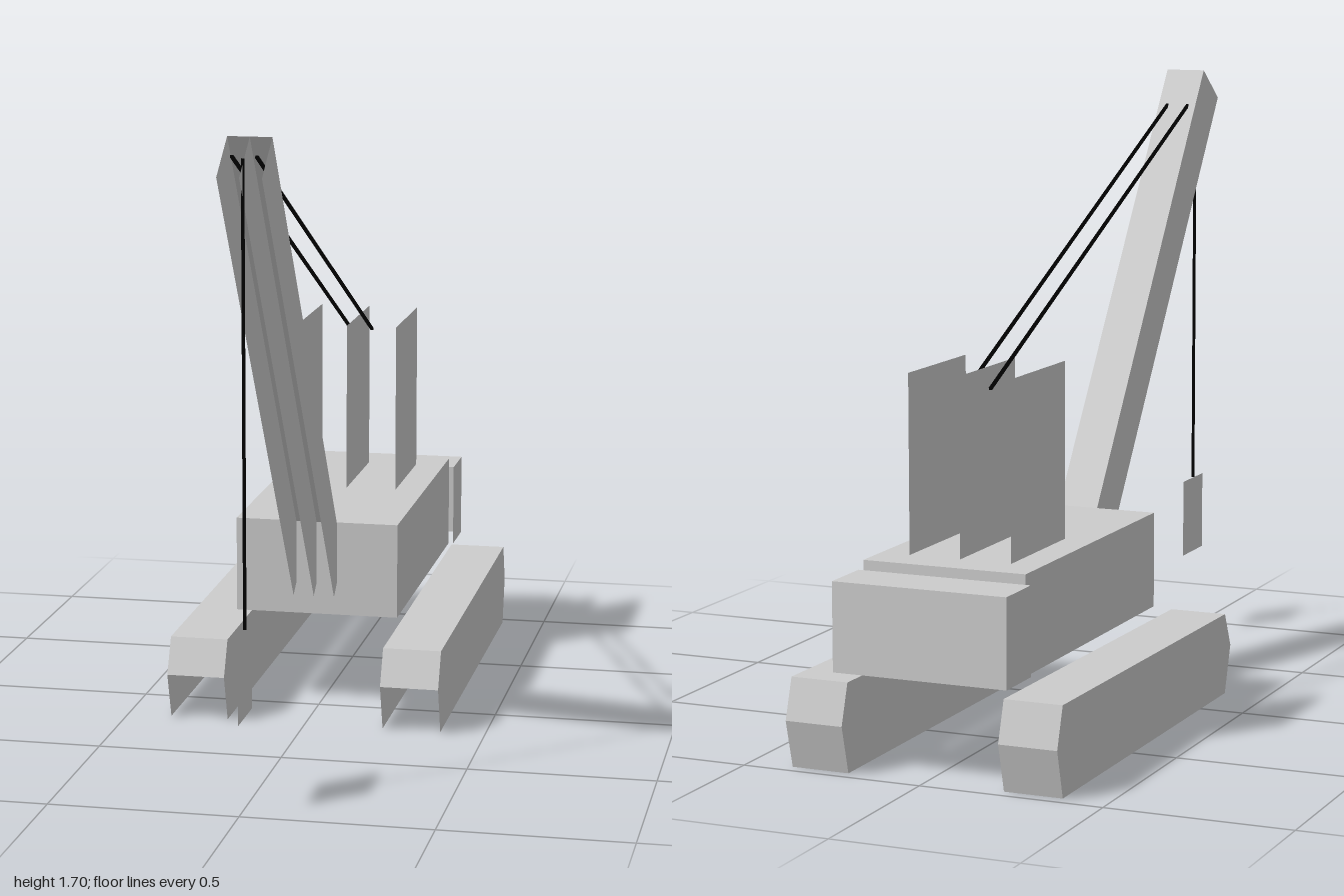
import * as THREE from 'three';

const grey = new THREE.MeshStandardMaterial({ color: 0xcccccc, side: THREE.DoubleSide });
grey.name = 'plainGrey';
const black = new THREE.MeshStandardMaterial({ color: 0x000000 });
black.name = 'cableBlack';

function mesh(name, geometry, material = grey) {
  const m = new THREE.Mesh(geometry, material);
  m.name = name;
  return m;
}

// Flat sheet in the plane x = const, outlined by [z, y] points
function sidePlate(name, x, points) {
  const shape = new THREE.Shape(points.map(([z, y]) => new THREE.Vector2(-z, y)));
  const geo = new THREE.ShapeGeometry(shape);
  geo.rotateY(Math.PI / 2);
  geo.translate(x, 0, 0);
  return mesh(name, geo);
}

// Sheet stretched across x0..x1 between two [z, y] points
function crossPlate(name, x0, x1, [za, ya], [zb, yb]) {
  const geo = new THREE.BufferGeometry();
  geo.setAttribute('position', new THREE.Float32BufferAttribute(
    [x0, ya, za, x1, ya, za, x1, yb, zb, x0, yb, zb], 3));
  geo.setIndex([0, 1, 2, 0, 2, 3]);
  geo.computeVertexNormals();
  return mesh(name, geo);
}

// Open shell: plates at each x, plus cross plates along the listed profile edges.
// Profiles run front, top, back so that cross plates face outward.
function shell(name, xs, profile, edges) {
  const group = new THREE.Group();
  group.name = name;
  xs.forEach((x) => group.add(sidePlate(name + 'Side', x, profile)));
  edges.forEach((i) => group.add(crossPlate(name + 'Plate', xs[0], xs[xs.length - 1],
    profile[i], profile[(i + 1) % profile.length])));
  return group;
}

// Thin black cable between two points
function cable(name, a, b, width, depth) {
  const from = new THREE.Vector3(...a), to = new THREE.Vector3(...b);
  const m = mesh(name, new THREE.BoxGeometry(width, depth, from.distanceTo(to)), black);
  m.position.copy(from).add(to).multiplyScalar(0.5);
  m.lookAt(to);
  return m;
}

export function createModel() {
  const crane = new THREE.Group();
  crane.name = 'crawlerCrane';

  // Crawler tracks, open underneath and at the lower front
  const track = [[0.19, 0], [0.232, 0.13], [0.187, 0.227], [-0.965, 0.238], [-1, 0.13], [-0.965, 0]];
  crane.add(shell('leftTrack', [0.217, 0.377], track, [1, 2, 3, 4]));
  crane.add(shell('rightTrack', [-0.378, -0.218], track, [1, 2, 3, 4]));

  // Rotating house and the counterweight behind it
  const house = [[0.025, 0.27], [0.025, 0.533], [-0.85, 0.533], [-0.85, 0.27]];
  crane.add(shell('house', [-0.228, 0.226], house, [0, 1, 2]));
  const weight = [[-0.85, 0.27], [-0.85, 0.506], [-1, 0.506], [-1, 0.27]];
  crane.add(shell('counterweight', [-0.242, 0.24], weight, [1, 2]));

  // Upright machinery panels
  const panel = [[-0.4, 0.533], [-0.4, 1.008], [-0.75, 1.008], [-0.75, 0.533]];
  [-0.143, 0, 0.143].forEach((x) => crane.add(sidePlate('machineryPanel', x, panel)));

  // Boom: three webs under an upper plate
  const boom = [[0.065, 0.33], [0.96, 1.61], [0.84, 1.697], [-0.055, 0.417]];
  crane.add(shell('boom', [-0.058, -0.001, 0.056], boom, [2]));

  // Stay cables, hoist cable and hanging load
  [-0.033, 0.03].forEach((x) => crane.add(
    cable('stayCable', [x, 0.96, -0.63], [x, 1.655, 0.9], 0.008, 0.007)));
  crane.add(cable('hoistCable', [-0.001, 0.465, 0.92], [-0.001, 1.653, 0.92], 0.008, 0.004));
  crane.add(sidePlate('load', -0.001, [[1, 0.237], [1, 0.463], [0.84, 0.463], [0.84, 0.237]]));

  return crane;
}
